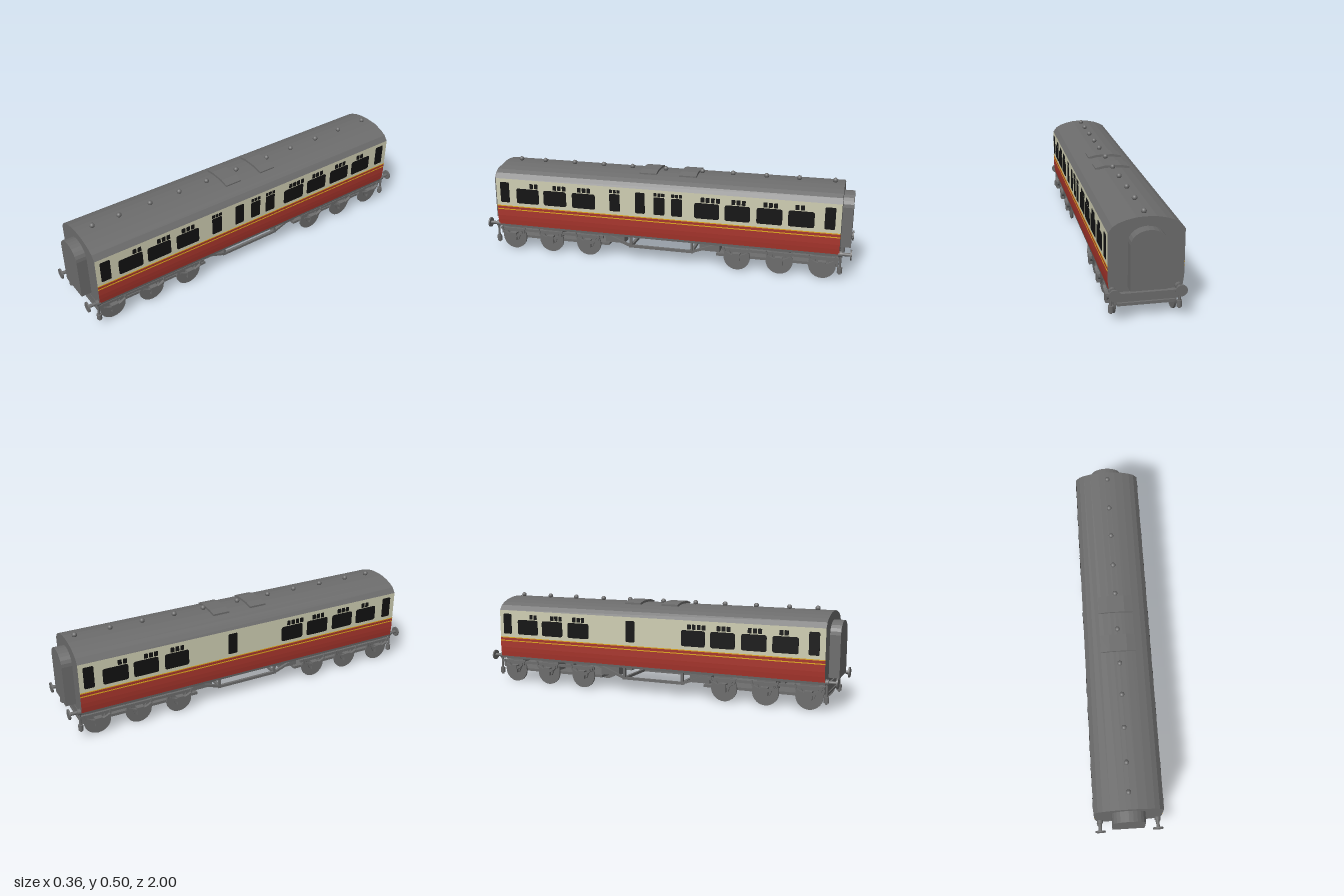
import * as THREE from 'three';

export function createModel() {
  const material = (name, color) => {
    const m = new THREE.MeshStandardMaterial({ color });
    m.name = name;
    return m;
  };
  const grey = material('grey', 0x6c6c6c);
  const cream = material('cream', 0xcfceb2);
  const red = material('red', 0xa8352c);
  const yellow = material('yellow', 0xe0a81c);
  const black = material('black', 0x121212);

  const model = new THREE.Group();
  model.name = 'railwayCarriage';
  const CX = -0.0035, HALF = 0.173, END = 0.938;

  const add = (parent, name, geometry, mat, x = 0, y = 0, z = 0) => {
    const mesh = new THREE.Mesh(geometry, mat);
    mesh.name = name;
    mesh.position.set(x, y, z);
    parent.add(mesh);
    return mesh;
  };
  const group = (name, parent = model) => {
    const g = new THREE.Group();
    g.name = name;
    parent.add(g);
    return g;
  };
  // Box given by its limits on each axis
  const box = (parent, name, mat, [x0, x1], [y0, y1], [z0, z1]) =>
    add(parent, name, new THREE.BoxGeometry(x1 - x0, y1 - y0, z1 - z0), mat,
      (x0 + x1) / 2, (y0 + y1) / 2, (z0 + z1) / 2);
  // Outline in x and y, pushed along z
  const extrude = (shape, depth, curveSegments = 8) =>
    new THREE.ExtrudeGeometry(shape, { depth, bevelEnabled: false, curveSegments });
  const polygon = (points) => new THREE.Shape(points.map(([x, y]) => new THREE.Vector2(x, y)));
  // Bar of square section between two points in the y-z plane
  const bar = (parent, name, x, [y0, z0], [y1, z1], t = 0.012) => {
    const m = add(parent, name, new THREE.BoxGeometry(t, t, Math.hypot(y1 - y0, z1 - z0) + t * 0.6),
      grey, x, (y0 + y1) / 2, (z0 + z1) / 2);
    m.rotation.x = -Math.atan2(y1 - y0, z1 - z0);
  };

  // Body: one cross-section, cut into bands by height; end walls stay grey
  const body = group('body');
  body.position.x = CX;
  const band = (name, mat, half) => {
    const mirrored = half.map(([x, y]) => [-x, y]).reverse();
    add(body, name, extrude(polygon([...half, ...mirrored]), END * 2), [grey, mat], 0, 0, -END);
  };
  band('floorFrame', grey, [[0.165, 0.134], [0.167, 0.147]]);
  band('lowerPanels', red, [[0.167, 0.147], [0.171, 0.175], [HALF, 0.2], [HALF, 0.258]]);
  band('upperPanels', cream, [[HALF, 0.258], [HALF, 0.413]]);
  band('roof', grey, [[HALF, 0.413], [0.152, 0.44], [0.127, 0.455], [0.09, 0.468],
    [0.045, 0.477], [0.012, 0.479]]);

  // Window plate with rounded corners, u running along the side
  const pane = (parent, name, u0, u1, y0, y1, r) => {
    const s = new THREE.Shape();
    s.moveTo(u0 + r, y0);
    s.lineTo(u1 - r, y0);
    s.quadraticCurveTo(u1, y0, u1, y0 + r);
    s.lineTo(u1, y1 - r);
    s.quadraticCurveTo(u1, y1, u1 - r, y1);
    s.lineTo(u0 + r, y1);
    s.quadraticCurveTo(u0, y1, u0, y1 - r);
    s.lineTo(u0, y0 + r);
    s.quadraticCurveTo(u0, y0, u0 + r, y0);
    add(parent, name, extrude(s, 0.002, 3).rotateY(Math.PI / 2), black, HALF, 0, 0);
  };

  // Sides: [start of window, first vent offset, number of vents]
  const bigWindows = [[-0.818, 0.08, 2], [-0.658, 0.056, 3], [-0.492, 0.032, 3], [0.187, 0.034, 4],
    [0.348, 0.034, 3], [0.513, 0.034, 3], [0.674, 0.034, 2]];
  const doorWindows = [-0.914, -0.134, 0.856];
  const smallWindows = [-0.278, -0.032, 0.064];
  for (const left of [true, false]) {
    const side = group(left ? 'leftSide' : 'rightSide', body);
    if (!left) side.rotation.y = Math.PI;
    for (const [u, offset, vents] of bigWindows) {
      pane(side, 'compartmentWindow', u, u + 0.132, 0.278, 0.362, 0.012);
      for (let i = 0; i < vents; i++) {
        const v = u + offset + i * 0.027;
        pane(side, 'slidingVent', v, v + 0.02, 0.367, 0.393, 0.003);
      }
    }
    for (const u of doorWindows) pane(side, 'doorWindow', u, u + 0.053, 0.278, 0.393, 0.007);
    if (left) for (const u of smallWindows) {
      pane(side, 'smallWindow', u, u + 0.058, 0.278, 0.374, 0.006);
      for (let i = 0; i < 3; i++) {
        pane(side, 'smallVent', u + i * 0.021, u + i * 0.021 + 0.016, 0.379, 0.397, 0.002);
      }
    }
    for (const y of [0.238, 0.257]) {
      box(side, 'liningStripe', yellow, [HALF, HALF + 0.0015], [y - 0.0025, y + 0.0025], [-END, END]);
    }
  }

  // Roof ventilators and hatches
  for (const z of [0.855, 0.71, 0.535, 0.364, 0.198, 0.01, -0.192, -0.358, -0.535, -0.706, -0.888]) {
    add(model, 'roofVentilator', new THREE.SphereGeometry(0.013, 16, 12), grey, 0, 0.488, z);
  }
  const hatch = polygon([[-0.09, 0.472], [0.09, 0.472], [0.09, 0.479], [0.045, 0.49], [-0.045, 0.49], [-0.09, 0.481]]);
  for (const z of [0.04, -0.177]) add(model, 'roofHatch', extrude(hatch, 0.092), grey, -0.002, 0, z);

  // End gangways, buffers, hoses and headstocks
  const arch = new THREE.Shape();
  arch.moveTo(-0.084, 0.157);
  arch.lineTo(0.084, 0.157);
  arch.lineTo(0.084, 0.37);
  arch.absellipse(0, 0.37, 0.084, 0.066, 0, Math.PI, false);
  arch.lineTo(-0.084, 0.157);
  for (const end of [1, -1]) {
    const g = group(end > 0 ? 'frontEnd' : 'backEnd');
    add(g, 'gangway', extrude(arch, 0.055, 6), grey, CX - 0.001, 0, end > 0 ? 0.936 : -0.991);
    box(g, 'headstock', grey, [-0.153, 0.139], [0.082, 0.122], end > 0 ? [0.905, 0.935] : [-0.935, -0.905]);
    for (const s of [1, -1]) {
      const x = s * 0.15;
      const rod = (name, r, len, z) =>
        add(g, name, new THREE.CylinderGeometry(r, r, len, 20).rotateX(Math.PI / 2), grey, x, 0.145, end * z);
      rod('bufferHead', 0.027, 0.008, 0.996);
      rod('bufferShank', 0.009, 0.06, 0.963);
      rod('bufferSocket', 0.016, 0.022, 0.943);
      add(g, 'hosePipe', new THREE.CylinderGeometry(0.006, 0.006, 0.07, 10), grey, s * 0.156, 0.1, end * 0.945);
      add(g, 'hoseCoupling', new THREE.CylinderGeometry(0.013, 0.013, 0.03, 12), grey, s * 0.156, 0.06, end * 0.945);
      add(g, 'hoseTip', new THREE.CylinderGeometry(0.006, 0.006, 0.01, 10), grey, s * 0.156, 0.042, end * 0.945);
    }
  }

  // Six-wheel bogies
  const spring = new THREE.Shape();
  spring.moveTo(-0.06, 0.108);
  spring.quadraticCurveTo(0, 0.068, 0.06, 0.108);
  spring.lineTo(0.06, 0.1);
  spring.quadraticCurveTo(0, 0.04, -0.06, 0.1);
  spring.closePath();
  const springGeo = extrude(spring, 0.014).rotateY(Math.PI / 2);
  const wheelGeo = new THREE.CylinderGeometry(0.07, 0.07, 0.01, 28).rotateZ(Math.PI / 2);
  const axleGeo = new THREE.CylinderGeometry(0.009, 0.009, 0.28, 10).rotateZ(Math.PI / 2);
  for (const end of [1, -1]) {
    const bogie = group(end > 0 ? 'frontBogie' : 'backBogie');
    bogie.position.set(CX - 0.002, 0, end * 0.635);
    box(bogie, 'bogieFloor', grey, [-0.132, 0.132], [0.063, 0.077], [-0.335, 0.3]);
    if (end < 0) bogie.children[0].position.z *= -1;
    for (const s of [1, -1]) {
      const xs = (a, b) => (s > 0 ? [a, b] : [-b, -a]);
      box(bogie, 'pivotBlock', grey, xs(0.046, 0.125), [0.077, 0.135], [-0.05, 0.05]);
      box(bogie, 'sideFrame', grey, xs(0.146, 0.158), [0.108, 0.122], [-0.31, 0.3]);
      for (const z of [-0.22, 0, 0.223]) {
        add(bogie, 'wheel', wheelGeo, grey, s * 0.139, 0.07, z);
        box(bogie, 'axleBox', grey, xs(0.144, 0.172), [0.055, 0.098], [z - 0.02, z + 0.02]);
        add(bogie, 'leafSpring', springGeo, grey, s > 0 ? 0.156 : -0.17, 0, z);
        for (const k of [-1, 1]) {
          bar(bogie, 'springHanger', s * 0.16, [0.1, z + k * 0.06], [0.125, z + k * 0.068], 0.009);
          bar(bogie, 'hornGuide', s * 0.151, [0.06, z + k * 0.022], [0.112, z + k * 0.045], 0.01);
        }
      }
    }
    for (const z of [-0.22, 0, 0.223]) add(bogie, 'axle', axleGeo, grey, 0, 0.07, z);
  }

  // Underframe trusses, cross members and equipment boxes
  const underframe = group('underframe');
  underframe.position.x = CX;
  for (const s of [1, -1]) {
    const x = s * 0.125;
    bar(underframe, 'trussRail', x, [0.07, -0.17], [0.07, 0.18], 0.014);
    bar(underframe, 'trussTopRail', x, [0.137, -0.35], [0.137, 0.36], 0.014);
    for (const [z, out] of [[0.175, 0.34], [-0.165, -0.33]]) {
      bar(underframe, 'trussPost', x, [0.07, z], [0.137, z], 0.013);
      bar(underframe, 'trussDiagonal', x, [0.07, z], [0.13, out], 0.013);
    }
    for (const z of [0.27, -0.26]) {
      box(underframe, 'equipmentBox', grey, s > 0 ? [0.046, 0.115] : [-0.115, -0.046],
        [0.078, 0.135], [z - 0.055, z + 0.055]);
    }
  }
  for (const z of [0.175, -0.165]) {
    box(underframe, 'crossMember', grey, [-0.13, 0.13], [0.063, 0.077], [z - 0.007, z + 0.007]);
  }
  return model;
}
